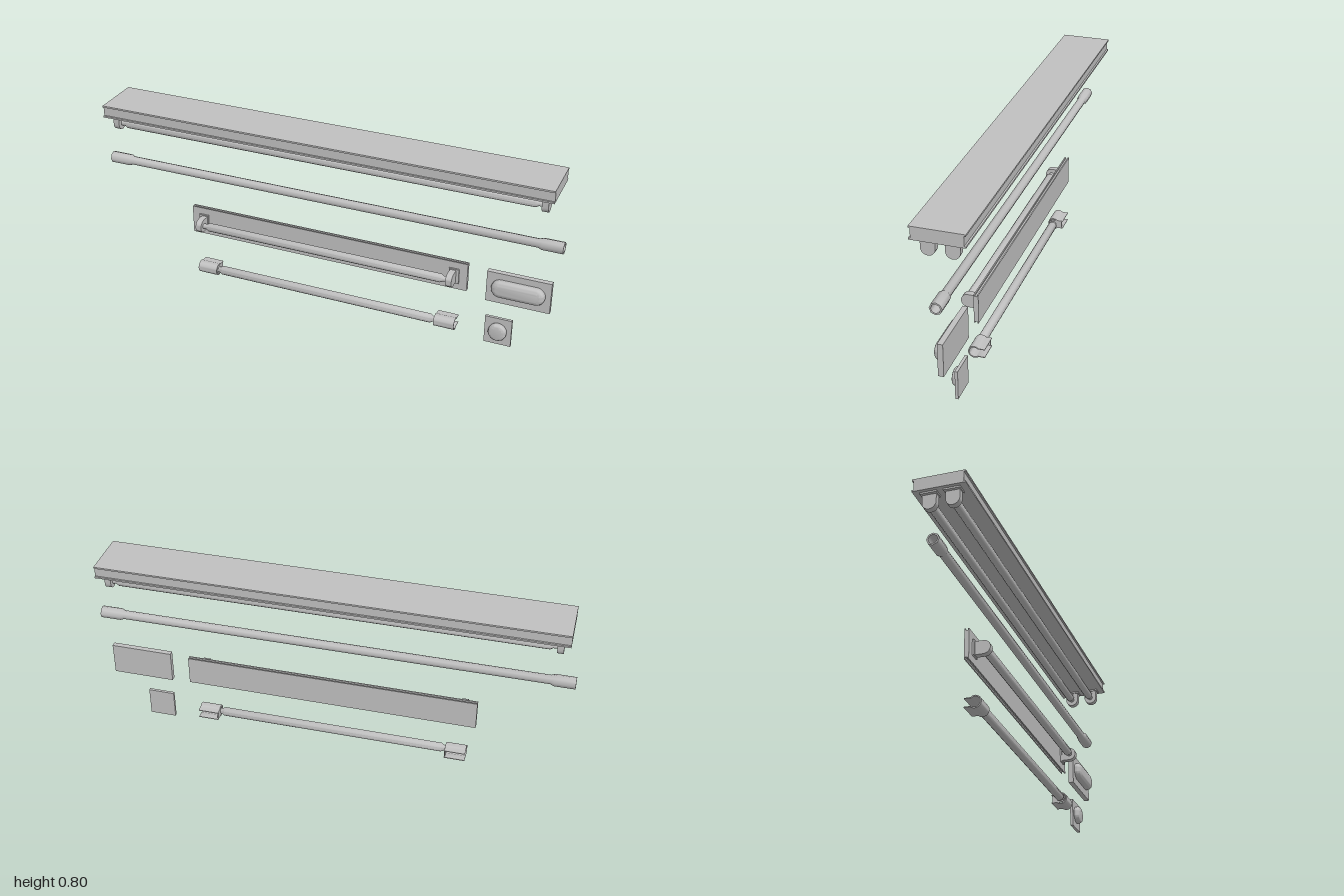
import * as THREE from 'three';
import { toCreasedNormals } from 'three/addons/utils/BufferGeometryUtils.js';

const grey = new THREE.MeshStandardMaterial({ color: 0xc0c0c0, side: THREE.DoubleSide });
grey.name = 'grey metal';

function add(parent, name, geo, x = 0, y = 0, z = 0) {
  const mesh = new THREE.Mesh(geo, grey);
  mesh.name = name;
  mesh.position.set(x, y, z);
  parent.add(mesh);
  return mesh;
}
const box = (w, h, d) => new THREE.BoxGeometry(w, h, d);
const smooth = (geo, angle = 0.9) => toCreasedNormals(geo, angle);

// Turned shape lying along x, from [radius, x] points
function turned(points, sides) {
  const geo = new THREE.LatheGeometry(points.map(([r, x]) => new THREE.Vector2(r, x)), sides);
  return smooth(geo.rotateZ(-Math.PI / 2));
}

// Lamp tube with narrow necks at both ends
function lampTube(half, r) {
  const end = [[r * 0.62, half], [r * 0.62, half - 0.022], [r, half - 0.034]];
  return turned([[0, -half], ...end.map(([a, x]) => [a, -x]), ...end.reverse(), [0, half]], 12);
}

// Shallow channel with lips along its long edges; its lamp side faces -y
function channel(name, length, height, width) {
  const g = new THREE.Group();
  g.name = name;
  add(g, 'body', box(length, height, width - 0.014), 0, height / 2);
  const lip = Math.min(0.007, height * 0.25);
  for (const s of [-1, 1])
    for (const y of [lip / 2, height - lip / 2])
      add(g, 'lip', box(length, lip, 0.007), 0, y, s * (width / 2 - 0.0035));
  return g;
}

// Round-nosed lamp holder hanging down from y = 0
function socket(parent, x, z) {
  const side = Math.sign(x);
  add(parent, 'socketBase', box(0.042, 0.007, 0.066), x, -0.0035, z);
  const s = new THREE.Shape();
  s.moveTo(-0.028, 0);
  s.lineTo(-0.028, -0.04);
  s.absarc(0, -0.04, 0.028, Math.PI, Math.PI * 2, false);
  s.lineTo(0.028, 0);
  const geo = new THREE.ExtrudeGeometry(s, { depth: 0.026, bevelEnabled: false, curveSegments: 6 });
  geo.rotateY(Math.PI / 2).translate(-0.013, 0, 0);
  add(parent, 'socketHolder', smooth(geo), x - side * 0.004, 0, z);
}

// Stadium-shaped dome with a rounded rim
function dome(halfStraight, r, depth, bevel, size) {
  const s = new THREE.Shape();
  s.absarc(halfStraight, 0, r, -Math.PI / 2, Math.PI / 2, false);
  s.absarc(-halfStraight, 0, r, Math.PI / 2, Math.PI * 1.5, false);
  return smooth(new THREE.ExtrudeGeometry(s, {
    depth, bevelThickness: bevel, bevelSize: size, bevelOffset: -size, bevelSegments: 5, curveSegments: 12,
  }));
}

// Holder of the small lamp: round front, open slot at the back
function endHolder() {
  const s = new THREE.Shape();
  s.moveTo(0.043, 0.019);
  s.lineTo(0.012, 0.019);
  s.absarc(0, 0, 0.026, 0.82, Math.PI * 2 - 0.82, false);
  s.lineTo(0.043, -0.019);
  s.lineTo(0.043, -0.016);
  s.lineTo(0.012, -0.016);
  s.absarc(0, 0, 0.021, Math.PI * 2 - 0.87, 0.87, true);
  s.lineTo(0.012, 0.016);
  s.lineTo(0.043, 0.016);
  const geo = new THREE.ExtrudeGeometry(s, { depth: 0.088, bevelEnabled: false, curveSegments: 10 });
  geo.rotateY(Math.PI / 2).translate(-0.044, 0, 0);
  return smooth(geo);
}

export function createModel() {
  const root = new THREE.Group();
  root.name = 'lampSet';

  // Ceiling fixture with two tubes
  const ceiling = channel('ceilingFixture', 1.93, 0.053, 0.21);
  ceiling.position.y = 0.747;
  for (const z of [-0.046, 0.046]) {
    for (const s of [-1, 1]) socket(ceiling, s * 0.929, z);
    add(ceiling, 'ceilingTube', lampTube(0.918, 0.018), 0, -0.04, z);
  }
  root.add(ceiling);

  // Hollow tube with wider sleeves
  const sleeve = [[0.019, 0.9], [0.025, 0.915], [0.025, 1], [0.0185, 1]];
  const half = sleeve.map(([r, x]) => [r, -x]).reverse();
  add(root, 'hollowTube', turned([...half, ...sleeve, [0.018, 0.9], [0.018, -0.9], [0.0185, -1]], 8), 0, 0.508);

  // Wall fixture, a shorter channel turned to face forward
  const wall = channel('wallFixture', 1.244, 0.019, 0.125);
  for (const s of [-1, 1]) socket(wall, s * 0.567, 0);
  add(wall, 'wallTube', lampTube(0.558, 0.018), 0, -0.041, 0);
  wall.rotation.x = -Math.PI / 2;
  wall.position.set(0, 0.279, -0.001);
  root.add(wall);
  // The channel extends from its face towards -z

  // Oblong bulkhead lamp
  add(root, 'oblongPlate', box(0.264, 0.138, 0.022), 0.838, 0.272, 0.001);
  add(root, 'oblongDome', dome(0.072, 0.038, 0.008, 0.02, 0.022), 0.838, 0.275, 0.012);

  // Small lamp with end holders
  add(root, 'smallTube', lampTube(0.515, 0.019), 0, 0.056, 0.013);
  for (const s of [-1, 1]) {
    add(root, 'endHolder', endHolder(), s * 0.544, 0.056, 0.013);
    add(root, 'holderInnerWall', box(0.004, 0.036, 0.05), s * 0.502, 0.056, 0.0);
  }

  // Square lamp
  add(root, 'squarePlate', box(0.113, 0.124, 0.012), 0.766, 0.062, 0);
  add(root, 'roundDome', dome(0, 0.038, 0.0105, 0.012, 0.014), 0.766, 0.064, 0.0075);
  return root;
}
